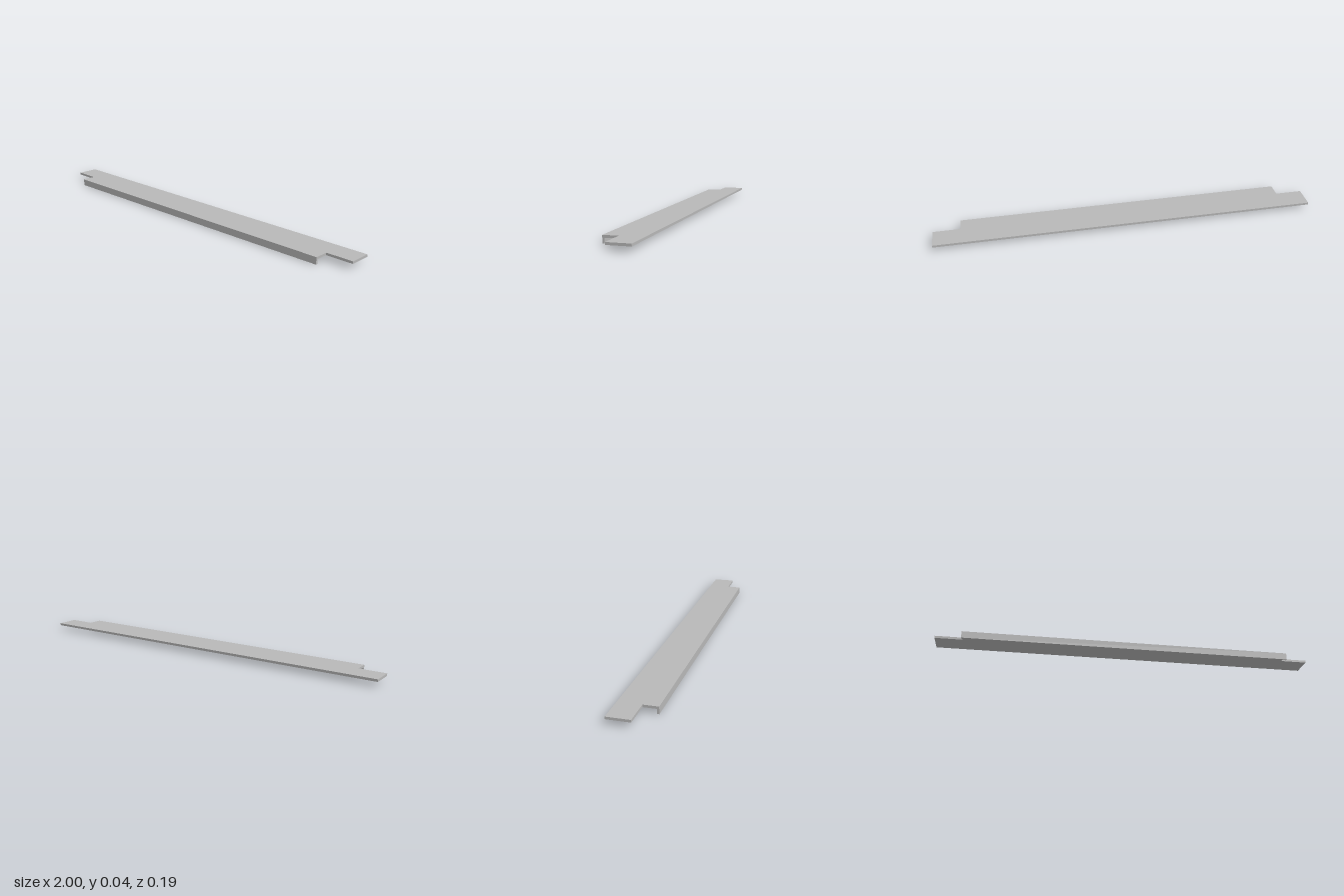
import * as THREE from 'three';

const HEIGHT = 0.036;      // overall height
const THICK = 0.012;       // plate thickness
const BACK = -0.094, NOTCH = 0.02, FRONT = 0.094;
const HALF = 1, HALF_FRONT = 0.86;
const LIP = 0.01;          // lip thickness

export function createModel() {
  const group = new THREE.Group();
  group.name = 'windowSill';
  const grey = new THREE.MeshStandardMaterial({ color: 0xb8b8b8 });
  grey.name = 'grey';

  // Flat board with a notch at each front corner, drawn in plan (x, z)
  const inner = FRONT - LIP;
  const plan = new THREE.Shape([
    [-HALF, BACK], [HALF, BACK], [HALF, NOTCH], [HALF_FRONT, NOTCH],
    [HALF_FRONT, inner], [-HALF_FRONT, inner], [-HALF_FRONT, NOTCH], [-HALF, NOTCH],
  ].map(([x, z]) => new THREE.Vector2(x, z)));
  const boardGeo = new THREE.ExtrudeGeometry(plan, { depth: THICK, bevelEnabled: false });
  boardGeo.rotateX(Math.PI / 2).translate(0, HEIGHT, 0);
  const board = new THREE.Mesh(boardGeo, grey);
  board.name = 'board';
  group.add(board);

  // Lip turned down along the front edge
  const lip = new THREE.Mesh(new THREE.BoxGeometry(2 * HALF_FRONT, HEIGHT, LIP), grey);
  lip.name = 'frontLip';
  lip.position.set(0, HEIGHT / 2, FRONT - LIP / 2);
  group.add(lip);

  return group;
}
